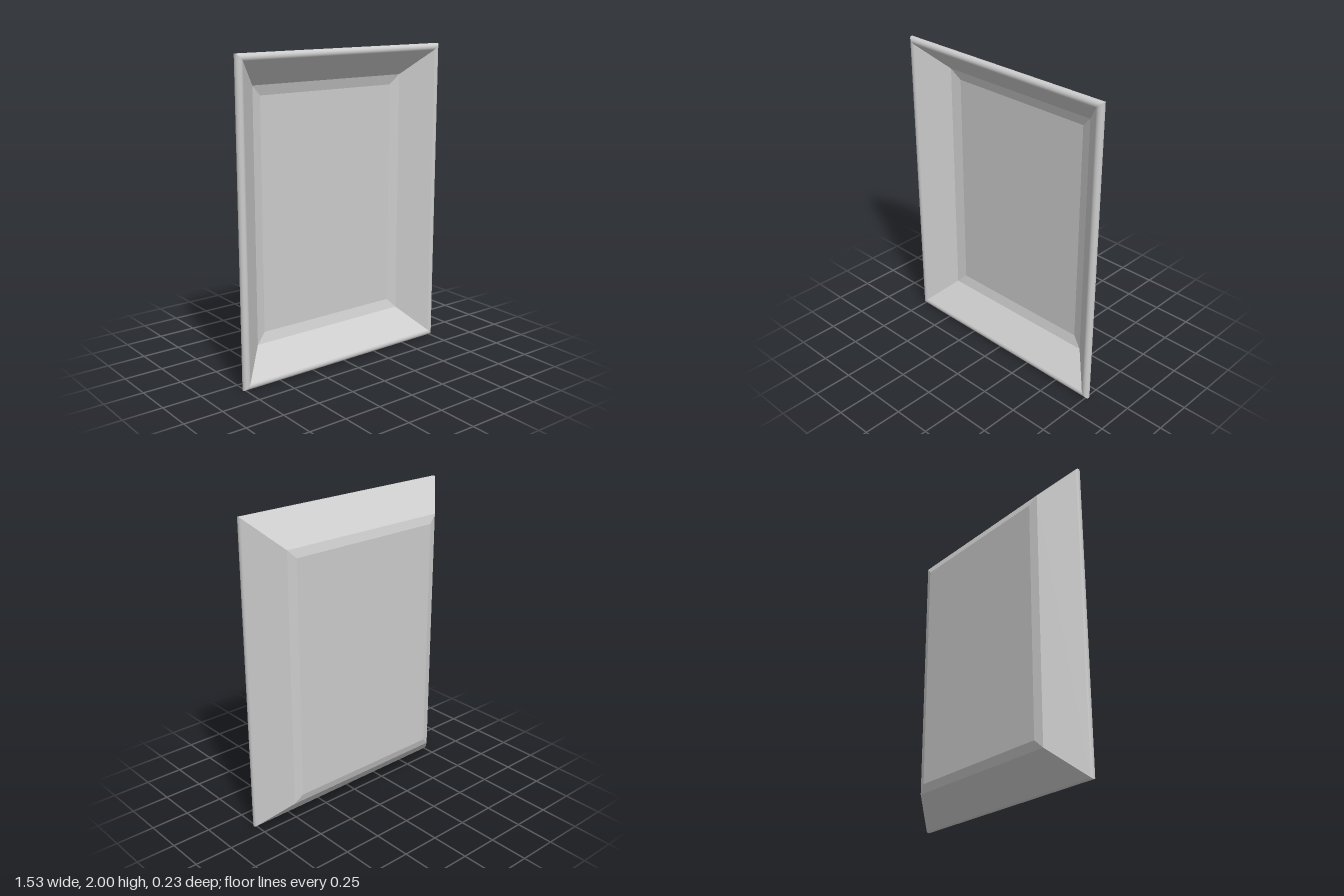
import * as THREE from 'three';

const HALF_W = 0.765, HALF_H = 1.0, R = 0.025, RIM_Z = 0.092;

// Corners of the rectangle lying `inset` inside the outline, counter-clockwise from the front
function corners([inset, z]) {
  const w = HALF_W - inset, h = HALF_H - inset;
  return [[-w, 1 - h, z], [w, 1 - h, z], [w, 1 + h, z], [-w, 1 + h, z]];
}

// Mitred frame swept from a profile of points (inset, z) and normals in that same plane
function frame(name, points, normals, material) {
  const inward = [[0, 1], [-1, 0], [0, -1], [1, 0]];
  const pos = [], nor = [], index = [];
  inward.forEach(([ix, iy], side) => {
    const base = pos.length / 3;
    points.forEach((p, i) => {
      const c = corners(p), [n, nz] = normals[i];
      pos.push(...c[side], ...c[(side + 1) % 4]);
      for (let k = 0; k < 2; k++) nor.push(ix * n, iy * n, nz);
      if (i === 0) return;
      const a = base + 2 * (i - 1);
      index.push(a, a + 1, a + 3, a, a + 3, a + 2);
    });
  });
  return mesh(name, pos, nor, index, material);
}

// Flat band: one normal for the whole strip
function band(name, a, b, material) {
  const d = [b[0] - a[0], b[1] - a[1]], len = Math.hypot(...d);
  const n = [-d[1] / len, d[0] / len];
  return frame(name, [a, b], [n, n], material);
}

// Rectangular floor sheet facing forwards (1) or backwards (-1)
function floor(name, p, facing, material) {
  const pos = corners(p).flat();
  const nor = [0, 1, 2, 3].flatMap(() => [0, 0, facing]);
  return mesh(name, pos, nor, facing > 0 ? [0, 1, 2, 0, 2, 3] : [0, 2, 1, 0, 3, 2], material);
}

function mesh(name, pos, nor, index, material) {
  const g = new THREE.BufferGeometry();
  g.setAttribute('position', new THREE.Float32BufferAttribute(pos, 3));
  g.setAttribute('normal', new THREE.Float32BufferAttribute(nor, 3));
  g.setIndex(index);
  const m = new THREE.Mesh(g, material);
  m.name = name;
  return m;
}

export function createModel() {
  const group = new THREE.Group();
  group.name = 'tray';
  const mat = new THREE.MeshStandardMaterial({ color: 0xcccccc });

  // Half-round rim, meeting both 45 degree walls tangentially
  const rim = [], rimNormals = [];
  const STEPS = 16;
  for (let i = 0; i <= STEPS; i++) {
    const a = Math.PI * (1.25 - i / STEPS);
    const n = [Math.cos(a), Math.sin(a)];
    rimNormals.push(n);
    rim.push([R + R * n[0], RIM_Z + R * n[1]]);
  }

  // Profile of the bends below the rim: (inset, z)
  const outerBend = [0.182, -0.1], outerFloor = [0.235, -0.117];
  const innerBend = [0.2, -0.047], innerFloor = [0.264, -0.067];

  group.add(
    floor('backPanel', outerFloor, -1, mat),
    band('outerBevel', outerFloor, outerBend, mat),
    band('outerWalls', outerBend, rim[0], mat),
    frame('roundedRim', rim, rimNormals, mat),
    band('innerWalls', rim[STEPS], innerBend, mat),
    band('innerBevel', innerBend, innerFloor, mat),
    floor('innerPanel', innerFloor, 1, mat),
  );
  return group;
}
